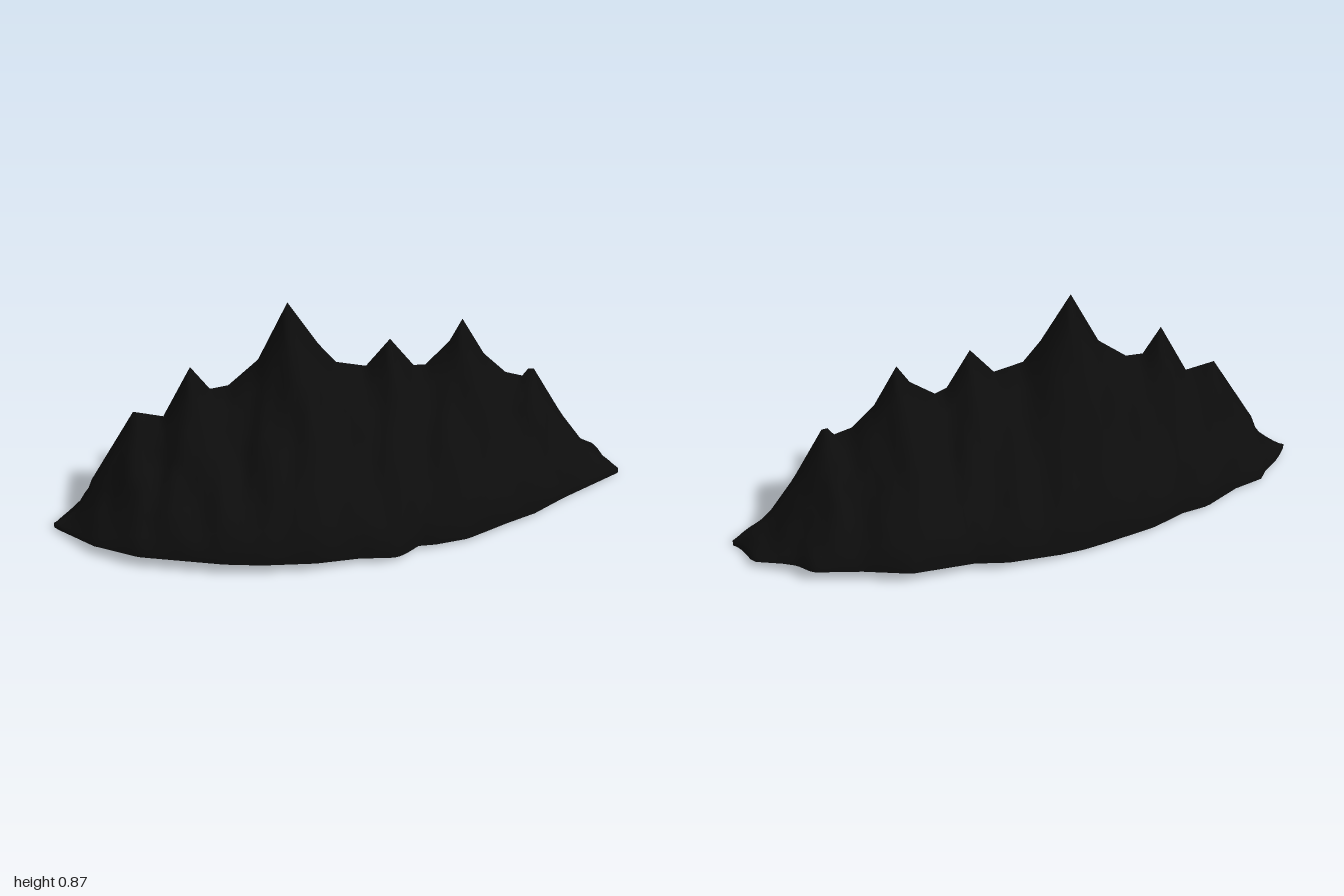
import * as THREE from 'three';

// Skyline of the ridge: x, height
const SKYLINE = [[-1, 0.03], [-0.96, 0.05], [-0.92, 0.08], [-0.87, 0.16], [-0.86, 0.2], [-0.7, 0.48], [-0.6, 0.455],
  [-0.5, 0.655], [-0.44, 0.555], [-0.38, 0.56], [-0.28, 0.65], [-0.18, 0.865], [-0.08, 0.69], [-0.02, 0.61],
  [0.08, 0.585], [0.16, 0.69], [0.24, 0.56], [0.28, 0.55], [0.36, 0.63], [0.4, 0.71], [0.48, 0.56], [0.56, 0.475],
  [0.62, 0.455], [0.65, 0.5], [0.77, 0.28], [0.87, 0.13], [0.95, 0.07], [1, 0.02]];
// Plan lines: x, z
const CREST = [[-1, 0.29], [-0.86, 0.24], [-0.7, 0.2], [-0.5, 0.16], [-0.18, 0.045], [0.16, -0.04], [0.4, -0.165],
  [0.65, -0.22], [0.9, -0.27], [1, -0.28]];
const FRONT = [[-1, 0.29], [-0.82, 0.42], [-0.65, 0.475], [-0.35, 0.48], [-0.22, 0.465], [-0.04, 0.42], [0.1, 0.36],
  [0.23, 0.33], [0.3, 0.25], [0.36, 0.235], [0.47, 0.19], [0.6, 0.09], [0.7, 0.02], [0.85, -0.13], [1, -0.28]];
const BACK = [[-1, 0.29], [-0.97, 0.22], [-0.92, 0.15], [-0.91, 0.11], [-0.8, 0.04], [-0.69, -0.06], [-0.6, -0.1],
  [-0.49, -0.18], [-0.33, -0.26], [-0.16, -0.34], [0.02, -0.4], [0.14, -0.41], [0.35, -0.485], [0.52, -0.475],
  [0.69, -0.485], [0.75, -0.44], [0.91, -0.4], [0.97, -0.3], [1, -0.28]];
// Slope from rim to crest: fraction inward, fraction of height
const SLOPE = [[0, 0], [0.02, 0.09], [0.1, 0.2], [0.25, 0.34], [0.45, 0.51], [0.58, 0.62], [0.71, 0.75], [0.86, 0.87], [1, 1]];
const STATIONS = 100;

function sample(line, x) {
  const i = Math.max(1, line.findIndex((p) => p[0] >= x - 1e-9));
  const [a, b] = [line[i - 1], line[i]];
  return THREE.MathUtils.lerp(a[1], b[1], THREE.MathUtils.clamp((x - a[0]) / (b[0] - a[0]), 0, 1));
}

// Gently dished base: rises towards front and back, dips at the two tips
function baseY(x, z) {
  const tip = Math.max(0, Math.abs(x) - 0.8) / 0.2;
  return 0.02 + 0.25 * Math.max(0, Math.abs(z) - 0.3) - tip * (x > 0 ? 0.02 : 0.01);
}

// Height of the skyline averaged over a width, so peaks soften lower down
function softSkyline(x, width) {
  let sum = 0;
  for (let k = -3; k <= 3; k++) sum += sample(SKYLINE, THREE.MathUtils.clamp(x + (k / 3) * width, -1, 1));
  return sum / 7;
}

function slopePoint(x, rim, [t, h]) {
  const crest = sample(CREST, x);
  const edge = sample(rim, x);
  let z = THREE.MathUtils.lerp(edge, crest, t);
  const low = baseY(x, edge);
  // spurs and gullies run square to the slanted ridge
  const sx = THREE.MathUtils.clamp(x - 0.29 * (z - crest), -1, 1);
  const top = Math.max(low, softSkyline(sx, 0.14 * (1 - t)));
  const rough = Math.sin(Math.PI * t) * Math.min(1, top * 2);
  z += 0.012 * rough * Math.sin(31 * sx + 9 * t);
  const gully = 0.014 * rough * (Math.sin(43 * sx + 5 * z) + 0.6 * Math.sin(71 * sx - 14 * t));
  return [x, low + (top - low) * h + gully, z];
}

// Joins equal rows of points, each running front to back, into one surface
function surface(rows, facingUp) {
  const n = rows[0].length;
  const index = [];
  for (let i = 0; i < rows.length - 1; i++) {
    for (let j = 0; j < n - 1; j++) {
      const a = i * n + j, b = a + n, c = a + 1, d = b + 1;
      if (facingUp) index.push(a, b, c, b, d, c);
      else index.push(a, c, b, b, c, d);
    }
  }
  const g = new THREE.BufferGeometry();
  g.setAttribute('position', new THREE.Float32BufferAttribute(rows.flat(2), 3));
  g.setIndex(index);
  g.computeVertexNormals();
  return g;
}

export function createModel() {
  const rock = new THREE.MeshStandardMaterial({ color: 0x0d0d0d });
  rock.name = 'blackRock';
  const group = new THREE.Group();
  group.name = 'mountainRidge';

  const slopes = [], base = [];
  for (let i = 0; i <= STATIONS; i++) {
    const x = -1 + (2 * i) / STATIONS;
    const front = SLOPE.map((s) => slopePoint(x, FRONT, s));
    const back = SLOPE.slice(0, -1).map((s) => slopePoint(x, BACK, s)).reverse();
    slopes.push([...front, ...back]);

    const row = [];
    for (let j = 0; j <= 10; j++) {
      const z = THREE.MathUtils.lerp(sample(FRONT, x), sample(BACK, x), j / 10);
      row.push([x, baseY(x, z), z]);
    }
    base.push(row);
  }

  // Rocky slopes with the peaks
  const mountain = new THREE.Mesh(surface(slopes, true), rock);
  mountain.name = 'rockySlopes';
  // Closed underside
  const underside = new THREE.Mesh(surface(base, false), rock);
  underside.name = 'underside';
  group.add(mountain, underside);
  return group;
}
